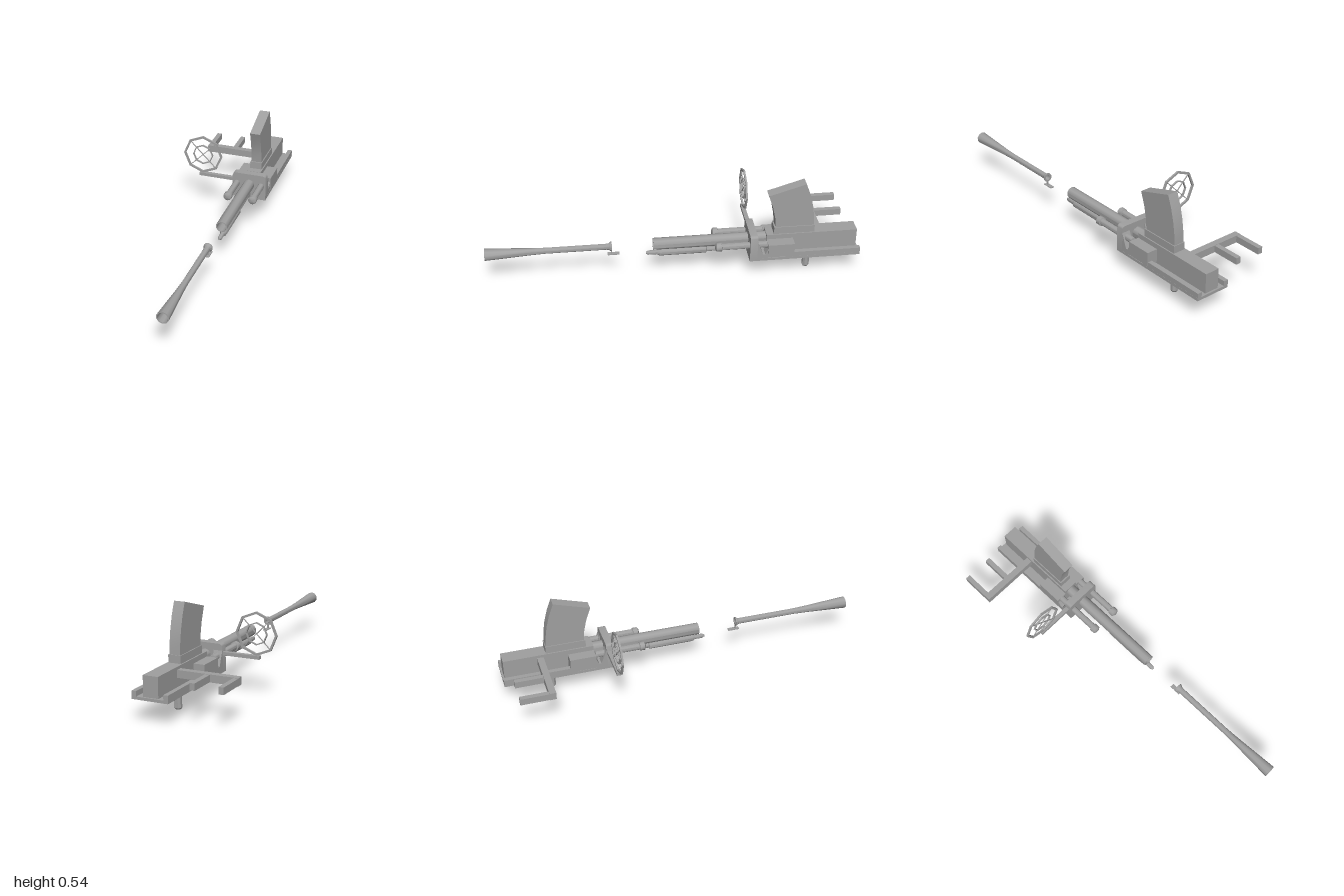
import * as THREE from 'three';
import { toCreasedNormals } from 'three/addons/utils/BufferGeometryUtils.js';

const CX = 0.148; // centre line of the weapon

export function createModel() {
  const root = new THREE.Group();
  const steel = new THREE.MeshStandardMaterial({ color: 0xa0a0a0 });
  steel.name = 'grey steel';

  function add(name, geo, x = 0, y = 0, z = 0, crease = 0.75) {
    const m = new THREE.Mesh(toCreasedNormals(geo, crease), steel);
    m.name = name;
    m.position.set(x, y, z);
    root.add(m);
    return m;
  }
  // box given by its limits
  function box(name, x0, x1, y0, y1, z0, z1) {
    return add(name, new THREE.BoxGeometry(x1 - x0, y1 - y0, z1 - z0),
      (x0 + x1) / 2, (y0 + y1) / 2, (z0 + z1) / 2);
  }
  // turned part along z; profile is [radius, z] from back to front
  function turned(name, pts, x, y, sides = 10) {
    const g = new THREE.LatheGeometry(pts.map(p => new THREE.Vector2(p[0], p[1])), sides);
    return add(name, g.rotateX(Math.PI / 2), x, y, 0);
  }
  // side profile given as [z, y], extruded across x
  function side(name, pts, x0, x1) {
    const s = new THREE.Shape(pts.map(p => new THREE.Vector2(-p[0], p[1])));
    const g = new THREE.ExtrudeGeometry(s, { depth: x1 - x0, bevelEnabled: false });
    return add(name, g.rotateY(Math.PI / 2), x0);
  }

  // cradle: front plate with rounded top corners, floor, side rails
  const L = 0.05, R = 0.247, T = 0.272, r = 0.022;
  const plate = new THREE.Shape();
  plate.moveTo(L, 0.12);
  plate.lineTo(R, 0.12);
  plate.lineTo(R, T - r);
  plate.quadraticCurveTo(R, T, R - r, T);
  plate.lineTo(L + r, T);
  plate.quadraticCurveTo(L, T, L, T - r);
  add('frontPlate', new THREE.ExtrudeGeometry(plate,
    { depth: 0.04, bevelEnabled: false, curveSegments: 4 }), 0, 0, -0.44);
  box('cradleFloor', L, R, 0.12, 0.135, -1, -0.43);
  for (const s of [-1, 1]) {
    const c = CX + s * 0.086;
    box('sideRail', c - 0.0125, c + 0.0125, 0.121, 0.162, -1, -0.6);
    // cheek with the notch behind the plate
    const a = CX + s * 0.0985, b = CX + s * 0.05;
    side('notchedCheek', [[-0.435, 0.121], [-0.435, 0.25], [-0.47, 0.16], [-0.482, 0.16],
      [-0.497, 0.19], [-0.497, 0.121]], Math.min(a, b), Math.max(a, b));
    const o = CX + s * 0.102, i = CX + s * 0.04;
    box('sideBlock', Math.min(o, i), Math.max(o, i), 0.14, 0.216, -0.64, -0.497);
    // recoil tubes beside the barrel
    turned('recoilTube', [[0, -0.5], [0.018, -0.495], [0.018, -0.25], [0.024, -0.248],
      [0.024, -0.222], [0.013, -0.215], [0, -0.215]], CX + s * 0.072, 0.208, 12);
  }

  // receiver
  box('receiver', 0.107, 0.189, 0.13, 0.243, -0.99, -0.497);

  // barrel, open at the front
  turned('barrel', [[0, -0.5], [0.032, -0.5], [0.032, 0.11], [0.027, 0.11], [0.027, -0.3], [0, -0.3]], CX, 0.207);

  // gas tube under the barrel
  turned('gasTube', [[0, -0.42], [0.013, -0.42], [0.013, -0.18], [0.02, -0.175], [0.02, 0.075],
    [0.012, 0.09], [0.012, 0.135], [0.006, 0.148], [0, 0.148]], CX, 0.152);

  // separate flared muzzle with its collar and latch
  turned('flaredMuzzle', [[0.015, 0.33], [0.025, 0.33], [0.025, 0.337], [0.018, 0.345], [0.016, 0.36],
    [0.016, 0.68], [0.019, 0.76], [0.033, 1], [0.028, 1], [0.016, 0.76], [0.014, 0.68],
    [0.014, 0.36], [0.015, 0.33]], CX, 0.208);
  box('muzzleLatch', CX - 0.011, CX + 0.011, 0.159, 0.164, 0.29, 0.353);
  box('latchStem', CX - 0.005, CX + 0.005, 0.162, 0.188, 0.331, 0.336);

  // curved magazine and its collar
  side('magazineCollar', [[-0.537, 0.24], [-0.537, 0.284], [-0.757, 0.284], [-0.757, 0.24]], 0.114, 0.183);
  side('magazine', [[-0.545, 0.28], [-0.54, 0.34], [-0.526, 0.405], [-0.5, 0.48], [-0.697, 0.541],
    [-0.722, 0.475], [-0.74, 0.405], [-0.75, 0.34], [-0.753, 0.28]], 0.119, 0.178);

  // grip under the floor
  const grip = [[0, 0.002], [0.015, 0.002], [0.02, 0.01], [0.019, 0.09], [0.022, 0.122], [0, 0.122]];
  add('grip', new THREE.LatheGeometry(grip.map(p => new THREE.Vector2(p[0], p[1])), 8)
    .rotateY(Math.PI / 8), CX, 0, -0.73, 0.5);

  // side arm with two prongs
  box('sideArm', -0.222, 0.11, 0.188, 0.228, -0.807, -0.772);
  for (const x of [-0.222, -0.071]) box('armProng', x, x + 0.027, 0.19, 0.226, -0.96, -0.8);

  // ring sight on its bar
  box('sightBar', -0.155, 0.06, 0.212, 0.23, -0.435, -0.412);
  const SX = -0.136, SY = 0.343;
  const octagon = rad => Array.from({ length: 8 }, (_, k) =>
    new THREE.Vector2(rad * Math.cos(k * Math.PI / 4), rad * Math.sin(k * Math.PI / 4)));
  for (const [outer, inner] of [[0.115, 0.103], [0.06, 0.054]]) {
    const ring = new THREE.Shape(octagon(outer));
    ring.holes.push(new THREE.Path(octagon(inner)));
    add('sightRing', new THREE.ExtrudeGeometry(ring, { depth: 0.01, bevelEnabled: false }),
      SX, SY, -0.428, 0.5);
  }
  for (const s of [-1, 1]) {
    add('sightSpoke', new THREE.BoxGeometry(0.212, 0.004, 0.005), SX, SY, -0.423)
      .rotation.z = s * Math.PI / 4;
  }
  return root;
}
